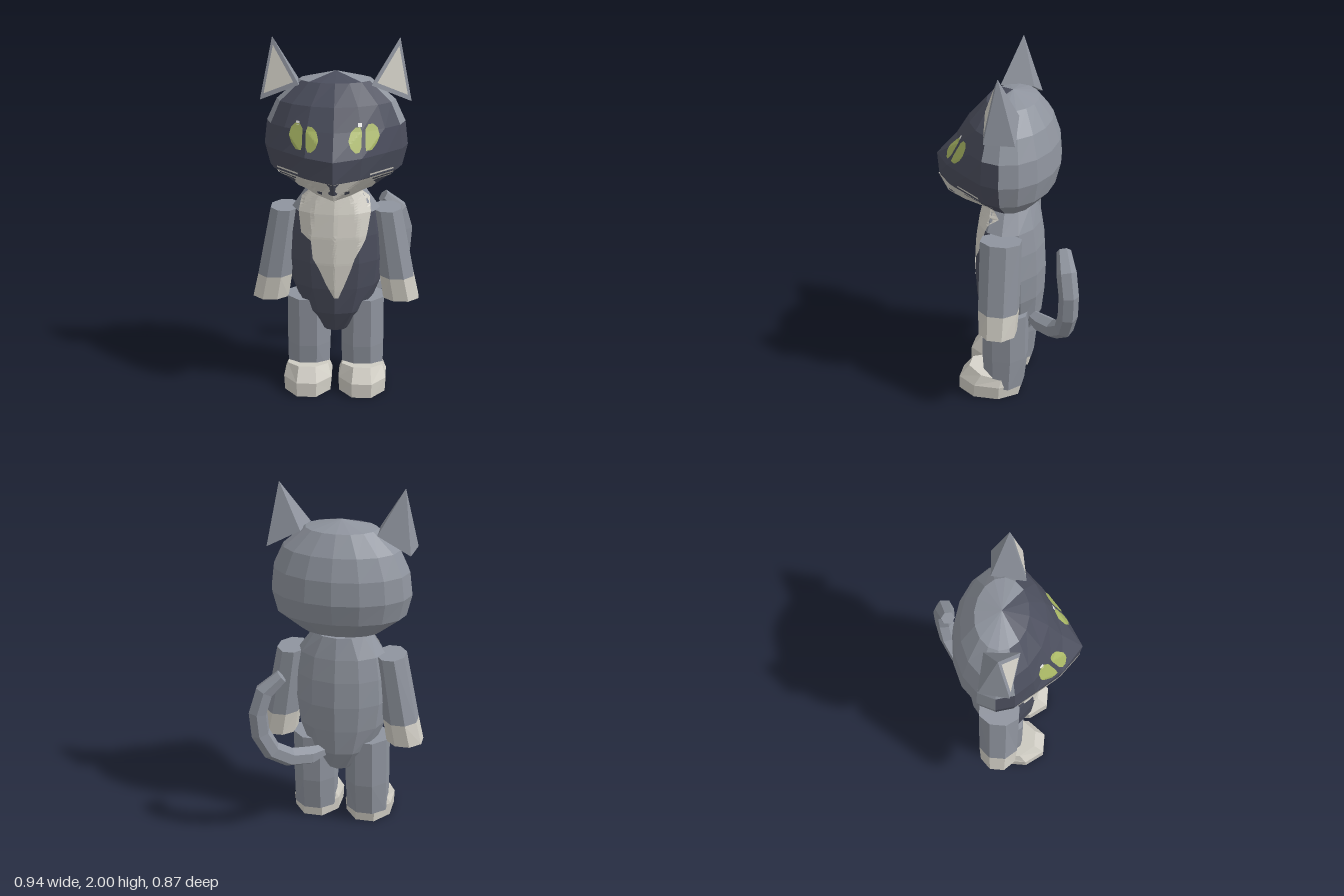
import * as THREE from 'three';

const mat = (name, color, side = THREE.FrontSide) => {
  const m = new THREE.MeshStandardMaterial({ color, side, flatShading: true });
  m.name = name;
  return m;
};

// Joins rings of points (bottom to top) into a closed faceted skin; pick(row, seg) chooses the material index.
function loft(rings, { bottom, top, pick = () => 0 } = {}) {
  const pos = [], geo = new THREE.BufferGeometry(), n = rings[0].length, last = rings.length - 1;
  const mean = (r) => r.reduce((s, p) => s.add(p), new THREE.Vector3()).divideScalar(n);
  const face = (m, ...pts) => {
    geo.addGroup(pos.length / 3, pts.length, m);
    pts.forEach((p) => pos.push(p.x, p.y, p.z));
  };
  const low = bottom || mean(rings[0]), high = top || mean(rings[last]);
  for (let j = 0; j < n; j++) {
    const k = (j + 1) % n;
    face(pick(-1, j), low, rings[0][k], rings[0][j]);
    for (let i = 0; i < last; i++) {
      const a = rings[i][j], b = rings[i][k], c = rings[i + 1][k], d = rings[i + 1][j];
      face(pick(i, j), a, b, c, a, c, d);
    }
    face(pick(last, j), high, rings[last][j], rings[last][k]);
  }
  geo.setAttribute('position', new THREE.Float32BufferAttribute(pos, 3));
  geo.computeVertexNormals();
  return geo;
}

// Horizontal ring, starting at the front and turning towards +x
function ring(n, cx, y, cz, rx, rz, turn = 0, tilt = 0) {
  return Array.from({ length: n }, (_, j) => {
    const a = ((j + turn) / n) * Math.PI * 2;
    return new THREE.Vector3(cx + Math.sin(a) * rx, y + Math.cos(a) * tilt, cz + Math.cos(a) * rz);
  });
}
// Octagon with flat sides, given by its half width and half depth
const oct = (cx, y, cz, hw, hd, tilt = 0) => ring(8, cx, y, cz, hw * 1.082, hd * 1.082, 0.5, tilt);

// Mirrors an unindexed geometry to the other side
function mirrored(geo) {
  const g = geo.clone().scale(-1, 1, 1), p = g.attributes.position;
  const a = new THREE.Vector3(), b = new THREE.Vector3();
  for (let i = 0; i < p.count; i += 3) {
    a.fromBufferAttribute(p, i + 1);
    b.fromBufferAttribute(p, i + 2);
    p.setXYZ(i + 1, b.x, b.y, b.z);
    p.setXYZ(i + 2, a.x, a.y, a.z);
  }
  g.computeVertexNormals();
  return g;
}

// Thin marking laid on the front of a mesh; rows are [y, x0, x1] from top to bottom
function patch(target, rows, lift = 0.004) {
  const caster = new THREE.Raycaster(), dir = new THREE.Vector3(0, 0, -1), grid = [], pos = [], cols = 18;
  const line = (y, x0, x1) => Array.from({ length: cols + 1 }, (_, c) => {
    caster.set(new THREE.Vector3(x0 + ((x1 - x0) * c) / cols, y, 3), dir);
    const hit = caster.intersectObject(target)[0];
    return hit && hit.point.clone().addScaledVector(hit.face.normal, lift);
  });
  rows.forEach((r, i) => {
    if (!i) return grid.push(line(...r));
    const p = rows[i - 1], steps = Math.ceil(Math.abs(r[0] - p[0]) / 0.015);
    for (let s = 1; s <= steps; s++) grid.push(line(...r.map((v, k) => p[k] + ((v - p[k]) * s) / steps)));
  });
  for (let i = 0; i + 1 < grid.length; i++) {
    for (let c = 0; c < cols; c++) {
      const q = [grid[i + 1][c], grid[i + 1][c + 1], grid[i][c + 1], grid[i][c]];
      if (q.every(Boolean)) [0, 1, 2, 0, 2, 3].forEach((k) => pos.push(...q[k].toArray()));
    }
  }
  const geo = new THREE.BufferGeometry();
  geo.setAttribute('position', new THREE.Float32BufferAttribute(pos, 3));
  geo.computeVertexNormals();
  return geo;
}

export function createModel() {
  const model = new THREE.Group();
  const grey = mat('grey fur', 0x8f949e), dark = mat('dark fur', 0x4b4e5d);
  const cream = mat('cream fur', 0xd2cfc6, THREE.DoubleSide), green = mat('green eye', 0xa9b765);
  const white = mat('eye glint', 0xf0f0ee);
  const add = (name, geo, m) => {
    const mesh = new THREE.Mesh(geo, m);
    mesh.name = name;
    model.add(mesh);
    return mesh;
  };
  const pair = (name, geo, m) => {
    add('left' + name, geo, m);
    add('right' + name, mirrored(geo), m);
  };

  // Head: ellipse rings [y, half width, half depth, snout], with the front drawn out into a muzzle
  const bump = [1, 0.55, 0.08];
  const headRings = [
    [1.185, 0.225, 0.14, 0.225], [1.29, 0.365, 0.235, 0.185], [1.41, 0.395, 0.265, 0.165],
    [1.54, 0.38, 0.255, 0.06], [1.66, 0.325, 0.215, 0.025], [1.77, 0.2, 0.14, 0],
  ].map(([y, w, d, snout]) => {
    const r = ring(16, 0, y, 0, w, d);
    r.forEach((p, j) => { p.z += snout * (bump[Math.min(j, 16 - j)] || 0); });
    return r;
  });
  const maskReach = [4, 4, 4, 3, 3, 2];
  const head = add('head', loft(headRings, {
    bottom: new THREE.Vector3(0, 1.15, 0.12),
    top: new THREE.Vector3(0, 1.815, 0),
    pick: (i, j) => (Math.min(j, 15 - j) < (i < 0 ? 4 : maskReach[i]) ? 1 : 0),
  }), [grey, dark]);

  // Muzzle, mouth and whiskers
  add('muzzle', patch(head, [[1.29, -0.2, 0.2], [1.25, -0.21, 0.21], [1.22, -0.22, 0.22], [1.187, -0.2, 0.2]]), cream);
  add('mouth', patch(head, [[1.29, -0.03, 0.03], [1.275, -0.012, 0.012], [1.25, -0.008, 0.008], [1.235, -0.02, 0.02], [1.225, -0.015, 0.015]], 0.008), dark);
  pair('MuzzleSpot', patch(head, [[1.235, 0.055, 0.08], [1.215, 0.055, 0.08]], 0.008), dark);
  [1.308, 1.286, 1.264].forEach((y, i) =>
    pair('Whisker' + (i + 1), patch(head, [[y + 0.005, 0.19, 0.315], [y - 0.005, 0.19, 0.315]]), cream));

  // Eyes: two green halves either side of a dark slit
  pair('EyeOuter', patch(head, [[1.572, 0.18, 0.205], [1.55, 0.165, 0.228], [1.51, 0.165, 0.24], [1.475, 0.165, 0.225], [1.445, 0.17, 0.2]]), green);
  pair('EyeInner', patch(head, [[1.562, 0.115, 0.138], [1.54, 0.09, 0.146], [1.5, 0.078, 0.146], [1.465, 0.09, 0.146], [1.44, 0.115, 0.135]]), green);
  add('leftEyeGlint', patch(head, [[1.582, 0.125, 0.145], [1.562, 0.125, 0.145]], 0.006), white);
  add('rightEyeGlint', patch(head, [[1.582, -0.2, -0.18], [1.562, -0.2, -0.18]], 0.006), white);

  // Ears: leaning four-sided spikes with a cream inner triangle
  const v = (x, y, z) => new THREE.Vector3(x, y, z);
  const base = [v(0.195, 1.755, 0.11), v(0.41, 1.665, 0.075), v(0.395, 1.66, -0.09), v(0.21, 1.755, -0.075)];
  const tip = v(0.345, 2, 0.01);
  pair('Ear', loft([base], { top: tip }), grey);
  const tri = [base[0], base[1], tip];
  const mid = v(0, 0, 0).add(tri[0]).add(tri[1]).add(tri[2]).divideScalar(3);
  const out = new THREE.Triangle(...tri).getNormal(v(0, 0, 0)).multiplyScalar(0.005);
  const inner = new THREE.BufferGeometry().setFromPoints(tri.map((p) => p.clone().lerp(mid, 0.24).add(out)));
  inner.computeVertexNormals();
  pair('InnerEar', inner, cream);

  // Torso with a dark belly and a pointed cream bib
  const torso = add('torso', loft([
    [0.35, 0.09, 0.125], [0.47, 0.19, 0.18], [0.62, 0.25, 0.197], [0.77, 0.27, 0.203],
    [0.92, 0.265, 0.195], [1.05, 0.245, 0.175], [1.17, 0.16, 0.145],
  ].map(([y, w, d]) => ring(12, 0, y, 0.014, w, d)), {
    pick: (i, j) => (i < 5 && Math.min(j, 11 - j) < 3 ? 1 : 0),
  }), [grey, dark]);
  add('bib', patch(torso, [
    [1.168, -0.14, 0.14], [1.12, -0.185, 0.185], [1.05, -0.2, 0.195], [0.935, -0.185, 0.175], [0.9, -0.13, 0.165],
    [0.8, -0.12, 0.11], [0.74, -0.085, 0.09], [0.65, -0.045, 0.055], [0.57, 0, 0.02],
  ]), cream);

  // Arms and paws
  const wrist = oct(0.345, 0.655, 0.012, 0.095, 0.108);
  pair('Arm', loft([wrist, oct(0.283, 1.05, 0.01, 0.08, 0.11)]), grey);
  pair('Paw', loft([oct(0.37, 0.52, 0.012, 0.1, 0.1), wrist]), cream);

  // Legs and feet
  pair('Leg', loft([oct(0.155, 0.06, 0.02, 0.115, 0.108), oct(0.153, 0.25, 0.016, 0.12, 0.125), oct(0.153, 0.53, 0.014, 0.12, 0.125)]), grey);
  pair('Foot', loft([
    oct(0.155, 0, 0.105, 0.13, 0.175), oct(0.155, 0.08, 0.1, 0.135, 0.178), oct(0.155, 0.135, 0.075, 0.115, 0.145, 0.025),
  ]), cream);

  // Tail: hexagonal tube curling up behind the left side
  const path = new THREE.CatmullRomCurve3([
    v(0.06, 0.47, -0.1), v(0.2, 0.475, -0.25), v(0.32, 0.56, -0.35), v(0.38, 0.7, -0.38), v(0.38, 0.83, -0.38),
    v(0.335, 0.95, -0.355), v(0.26, 1.01, -0.33),
  ]);
  const steps = 7, frames = path.computeFrenetFrames(steps);
  const tailRings = Array.from({ length: steps + 1 }, (_, i) => {
    const c = path.getPointAt(i / steps), r = i === 0 ? 0.03 : i === steps ? 0.04 : 0.055;
    return Array.from({ length: 6 }, (_, j) => {
      const a = (j / 6) * Math.PI * 2;
      return c.clone().addScaledVector(frames.normals[i], Math.cos(a) * r).addScaledVector(frames.binormals[i], Math.sin(a) * r);
    });
  });
  add('tail', loft(tailRings), grey);

  return model;
}
